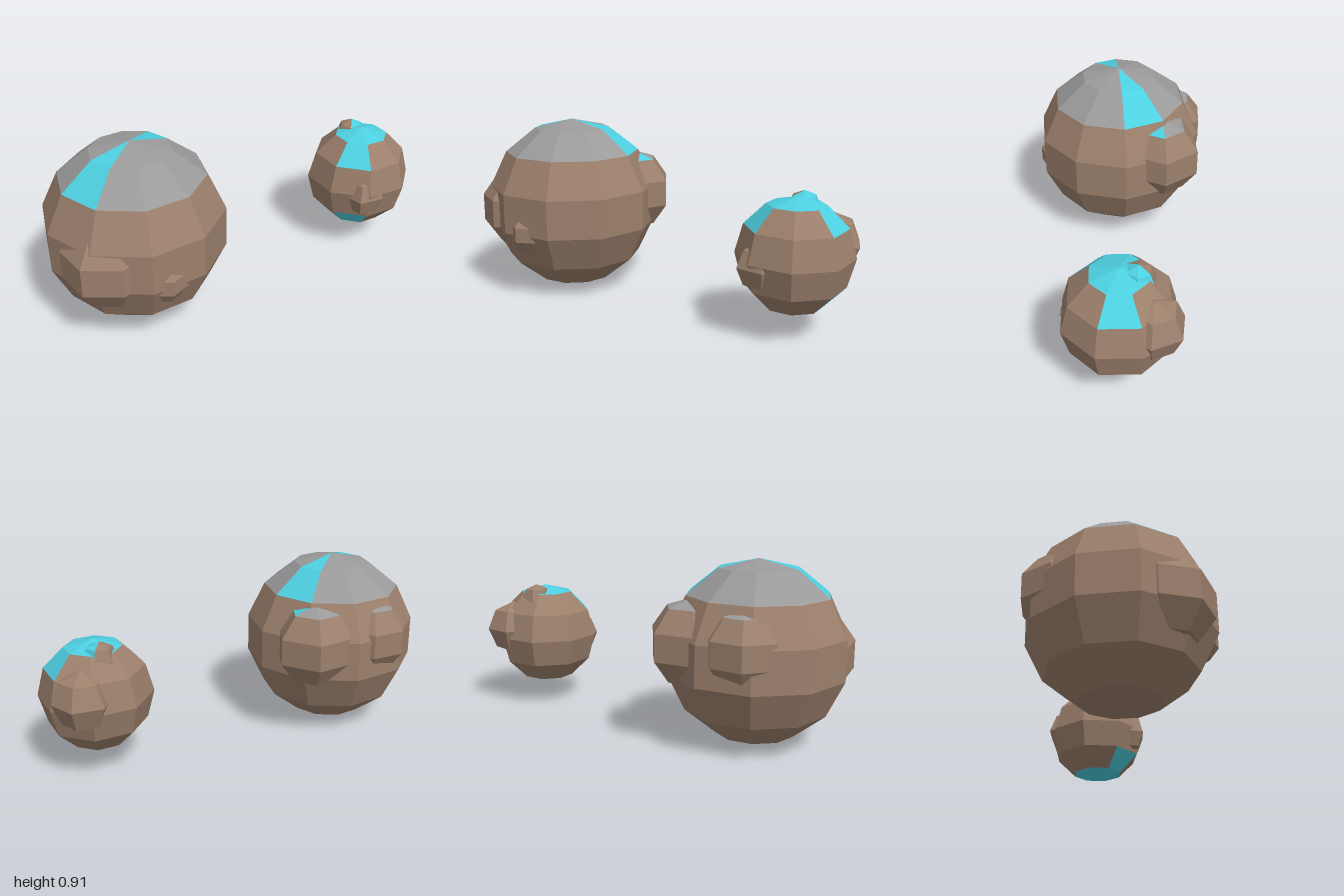
import * as THREE from 'three';

const BROWN = 0x9c806c, GREY = 0x9a9a9a, CYAN = 0x4dd0e1;
const materials = {};
for (const color of [BROWN, GREY, CYAN]) {
  materials[color] = new THREE.MeshStandardMaterial({ color, flatShading: true, roughness: 1 });
}

// Faceted ball; each facet gets its colour from paint(row, angle),
// where angle is in degrees from +x towards +z.
function facetedBall(name, { at, radius, sides, rows, turn, paint }) {
  const phiStart = Math.PI - THREE.MathUtils.degToRad(turn);
  const source = new THREE.SphereGeometry(radius, sides, rows, phiStart).toNonIndexed();
  const pos = source.attributes.position;
  const buckets = {};
  const corner = new THREE.Vector3(), mid = new THREE.Vector3();
  for (let i = 0; i < pos.count; i += 3) {
    mid.set(0, 0, 0);
    const coords = [];
    for (let k = 0; k < 3; k++) {
      corner.fromBufferAttribute(pos, i + k);
      coords.push(corner.x, corner.y, corner.z);
      mid.add(corner);
    }
    mid.normalize();
    const row = Math.floor(Math.acos(mid.y) / Math.PI * rows);
    const angle = THREE.MathUtils.radToDeg(Math.atan2(mid.z, mid.x));
    const color = paint(row, angle);
    (buckets[color] ??= []).push(...coords);
  }
  const group = new THREE.Group();
  group.name = name;
  for (const [color, coords] of Object.entries(buckets)) {
    const geometry = new THREE.BufferGeometry();
    geometry.setAttribute('position', new THREE.Float32BufferAttribute(coords, 3));
    geometry.computeVertexNormals();
    const mesh = new THREE.Mesh(geometry, materials[color]);
    mesh.name = name + { [BROWN]: 'Rock', [GREY]: 'Cap', [CYAN]: 'Ice' }[color];
    group.add(mesh);
  }
  group.position.set(...at);
  return group;
}

const plain = () => BROWN;
const greyTop = (row) => (row === 0 ? GREY : BROWN);

export function createModel() {
  const model = new THREE.Group();
  model.name = 'rockPair';

  // Large boulder: grey cap with two opposite cyan wedges, and four bumps
  const large = new THREE.Group();
  large.name = 'largeBoulder';
  large.add(
    facetedBall('largeBody', {
      at: [-0.525, 0.455, -0.165], radius: 0.455, sides: 10, rows: 7, turn: 90,
      paint: (row, a) => {
        if (row > 1) return BROWN;
        return Math.abs(a) < 18 || Math.abs(a) > 162 ? CYAN : GREY;
      },
    }),
    facetedBall('leftBump', {
      at: [-0.218, 0.51, -0.284], radius: 0.22, sides: 6, rows: 5, turn: 18,
      paint: (row, a) => (row > 0 ? BROWN : a > 18 && a < 78 ? CYAN : GREY),
    }),
    facetedBall('backBump', {
      at: [-0.485, 0.525, -0.45], radius: 0.2, sides: 7, rows: 5, turn: -90, paint: greyTop,
    }),
    facetedBall('rightBump', {
      at: [-0.785, 0.43, -0.085], radius: 0.23, sides: 7, rows: 5, turn: 168, paint: greyTop,
    }),
    facetedBall('frontBump', {
      at: [-0.66, 0.36, 0.14], radius: 0.12, sides: 7, rows: 5, turn: -90, paint: plain,
    }),
  );

  // Small boulder: cyan poles with cyan patches on its front flanks, and three bumps
  const small = new THREE.Group();
  small.name = 'smallBoulder';
  small.add(
    facetedBall('smallBody', {
      at: [0.705, 0.385, 0.36], radius: 0.28, sides: 8, rows: 6, turn: 0,
      paint: (row, a) => {
        if (row === 0 || row === 5) return CYAN;
        const flank = (a > 0 && a < 45) || a > 135;
        return (row === 1 || row === 4) && flank ? CYAN : BROWN;
      },
    }),
    facetedBall('smallLeftBump', {
      at: [0.868, 0.43, 0.265], radius: 0.148, sides: 6, rows: 4, turn: 30, paint: plain,
    }),
    facetedBall('smallFrontBump', {
      at: [0.56, 0.36, 0.48], radius: 0.117, sides: 5, rows: 4, turn: 155, paint: plain,
    }),
    facetedBall('smallTopBump', {
      at: [0.735, 0.59, 0.28], radius: 0.087, sides: 6, rows: 4, turn: 30,
      paint: (row, a) => (row < 2 && a > -30 && a < 150 ? CYAN : BROWN),
    }),
  );

  model.add(large, small);
  return model;
}
